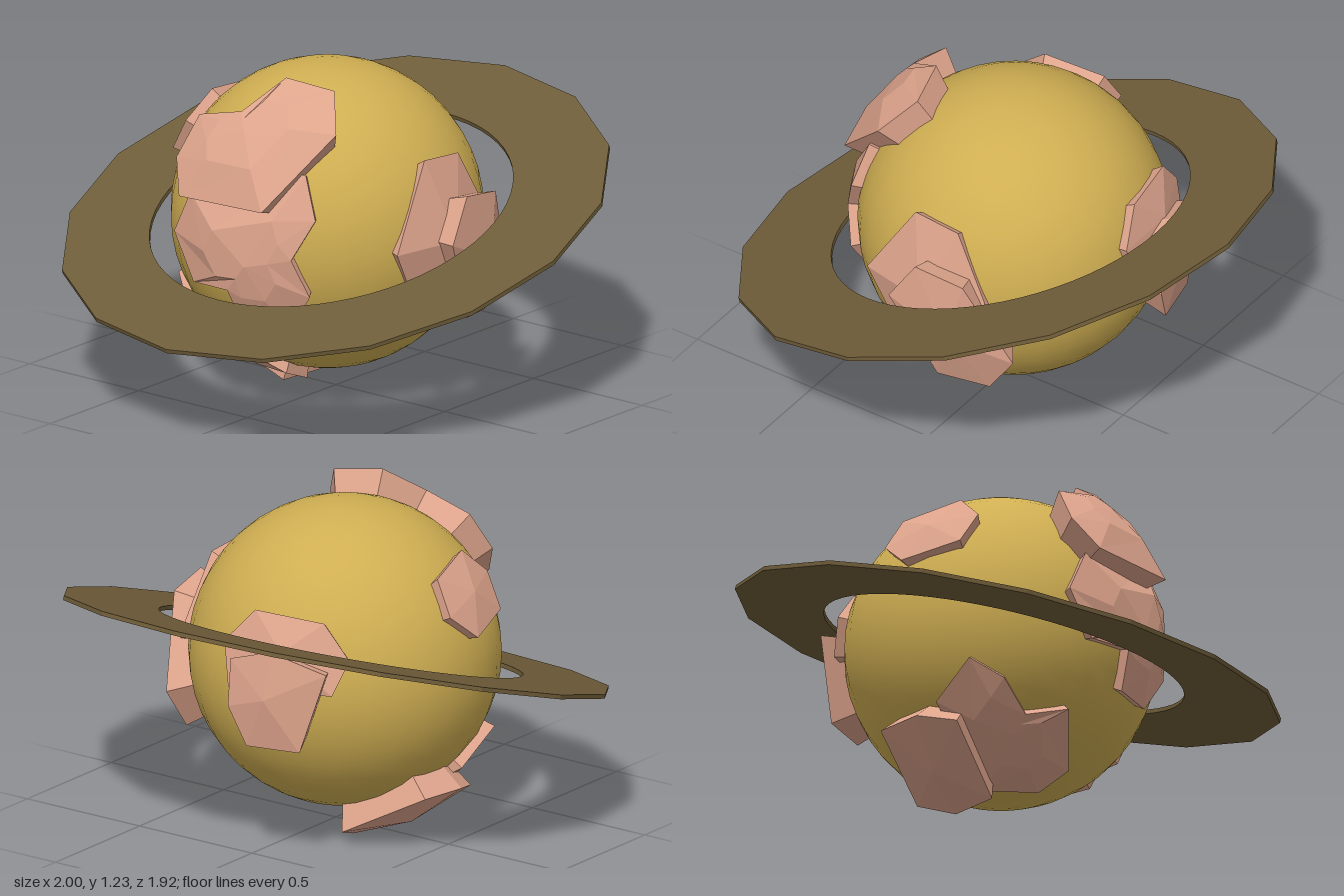
import * as THREE from 'three';

const CENTRE = new THREE.Vector3(-0.04, 0.64, 0);
const V = (x, y, z) => new THREE.Vector3(x, y, z);

// Directions a plate is laid out from: u runs right, v runs up, seen from outside the planet.
const FRONT = [V(1, 0, 0), V(0, 1, 0)];
const SIDE = [V(0, 0, -1), V(0, 1, 0)];
const BELOW = [V(1, 0, 0), V(0, 0, 1)];
const REAR = [V(-0.766, 0, 0.643), V(0.261, 0.914, 0.312)];

// Throws a flat point (a, b) out onto a sphere of radius R.
function onSphere([u, v], R, [a, b]) {
  const w = Math.sqrt(R * R - a * a - b * b);
  return u.clone().cross(v).setLength(w).addScaledVector(u, a).addScaledVector(v, b).setLength(R);
}

// Six corners from three: the other half is a half turn about the plate's centre.
function hexCorners(basis, R, centre, half) {
  const axis = onSphere(basis, 1, centre.map((c) => c / R));
  const corners = half.map((p) => onSphere(basis, R, p));
  return [...corners, ...corners.map((p) => p.clone().applyAxisAngle(axis, Math.PI))];
}

// Raised land plate: radial walls and a faceted dome over the given corners.
function plate(name, corners, R, rings, material) {
  const n = corners.length;
  const mid = corners.reduce((s, p) => s.add(p), V(0, 0, 0)).setLength(R);
  const turn = corners.reduce((s, p, i) => s + p.clone().cross(corners[(i + 1) % n]).dot(mid), 0);
  const top = turn < 0 ? corners.slice().reverse() : corners;

  const loops = [top.map((p) => p.clone().setLength(0.53))];
  for (let k = 0; k < rings; k++) {
    loops.push(top.map((p) => p.clone().lerp(mid, k / rings).setLength(R)));
  }
  const points = [];
  for (let i = 0; i < n; i++) {
    const j = (i + 1) % n;
    for (let k = 0; k < rings; k++) {
      const [lo, hi] = [loops[k], loops[k + 1]];
      points.push(lo[i], lo[j], hi[j], lo[i], hi[j], hi[i]);
    }
    points.push(loops[rings][i], loops[rings][j], mid);
  }
  const geo = new THREE.BufferGeometry().setFromPoints(points);
  geo.computeVertexNormals();
  const mesh = new THREE.Mesh(geo, material);
  mesh.name = name;
  mesh.position.copy(CENTRE);
  return mesh;
}

export function createModel() {
  const group = new THREE.Group();
  group.name = 'ringedPlanet';
  const gold = new THREE.MeshStandardMaterial({ color: 0xcfae52 });
  const brown = new THREE.MeshStandardMaterial({ color: 0x6f5d39, flatShading: true });
  const pink = new THREE.MeshStandardMaterial({ color: 0xdea48c, flatShading: true, side: THREE.DoubleSide });

  // Planet body
  const planet = new THREE.Mesh(new THREE.SphereGeometry(0.56, 32, 24), gold);
  planet.name = 'planet';
  planet.position.copy(CENTRE);
  group.add(planet);

  // Ring: sixteen-sided outside, round inside, tipped down at the front
  const shape = new THREE.Shape(Array.from({ length: 16 }, (_, i) => {
    const a = (i / 16) * Math.PI * 2;
    return new THREE.Vector2(Math.cos(a), Math.sin(a));
  }));
  const hole = new THREE.Path();
  hole.absarc(-0.02, 0, 0.66, 0, Math.PI * 2, true);
  shape.holes.push(hole);
  const ringGeo = new THREE.ExtrudeGeometry(shape, { depth: 0.016, bevelEnabled: false, curveSegments: 32 });
  ringGeo.translate(0, 0, -0.008);
  const ring = new THREE.Mesh(ringGeo, brown);
  ring.name = 'ring';
  ring.rotation.x = -THREE.MathUtils.degToRad(72.8);
  ring.position.set(0, 0.655, 0);
  group.add(ring);

  // Six-cornered land: name, basis, radius, centre, first three corners
  const hexLands = [
    ['leftInnerLand', SIDE, 0.6, [0, 0.01], [[-0.265, 0.005], [-0.075, 0.31], [0.11, 0.295]]],
    ['leftOuterLand', SIDE, 0.66, [0.145, -0.08], [[0.01, 0.18], [0.2, 0.15], [0.36, -0.17]]],
    ['rightLand', REAR, 0.6, [0.45, 0.165], [[0.408, 0.32], [0.31, 0.2], [0.353, 0.06]]],
    ['bottomOuterLand', BELOW, 0.66, [-0.33, -0.046], [[-0.44, 0.16], [-0.14, 0.075], [-0.118, -0.11]]],
  ];
  for (const [name, basis, R, centre, half] of hexLands) {
    group.add(plate(name, hexCorners(basis, R, centre, half), R, 1, pink));
  }

  // Irregular land: name, basis, radius, dome rings, outline
  const freeLands = [
    ['frontUpperLand', FRONT, 0.66, 2, [[0.056, 0.585], [0.24, 0.56], [0.335, 0.44], [0.19, 0.18],
      [-0.185, 0.17], [-0.255, 0.285], [-0.22, 0.43], [-0.025, 0.48]]],
    ['frontLowerLand', FRONT, 0.6, 2, [[0.265, 0.3], [0.334, 0.146], [0.27, 0], [0.318, -0.14], [0.22, -0.282],
      [0.04, -0.287], [0.013, -0.15], [-0.163, -0.16], [-0.265, 0.007], [-0.185, 0.17]]],
    ['backInnerLand', REAR, 0.6, 1, [[-0.342, 0.103], [-0.103, 0.038], [-0.016, -0.098],
      [-0.08, -0.22], [-0.44, -0.16], [-0.45, 0.005]]],
    ['backOuterLand', REAR, 0.66, 1, [[-0.445, -0.234], [-0.435, -0.07], [-0.3, -0.06], [-0.103, -0.152],
      [-0.196, -0.413], [-0.38, -0.375]]],
    ['bottomInnerLand', BELOW, 0.6, 2, [[-0.48, 0.25], [-0.38, 0.33], [-0.26, 0.33], [-0.14, 0.43], [0.04, 0.28],
      [0.03, 0.15], [-0.12, 0.02], [-0.46, 0.08]]],
  ];
  for (const [name, basis, R, rings, outline] of freeLands) {
    group.add(plate(name, outline.map((p) => onSphere(basis, R, p)), R, rings, pink));
  }
  return group;
}
